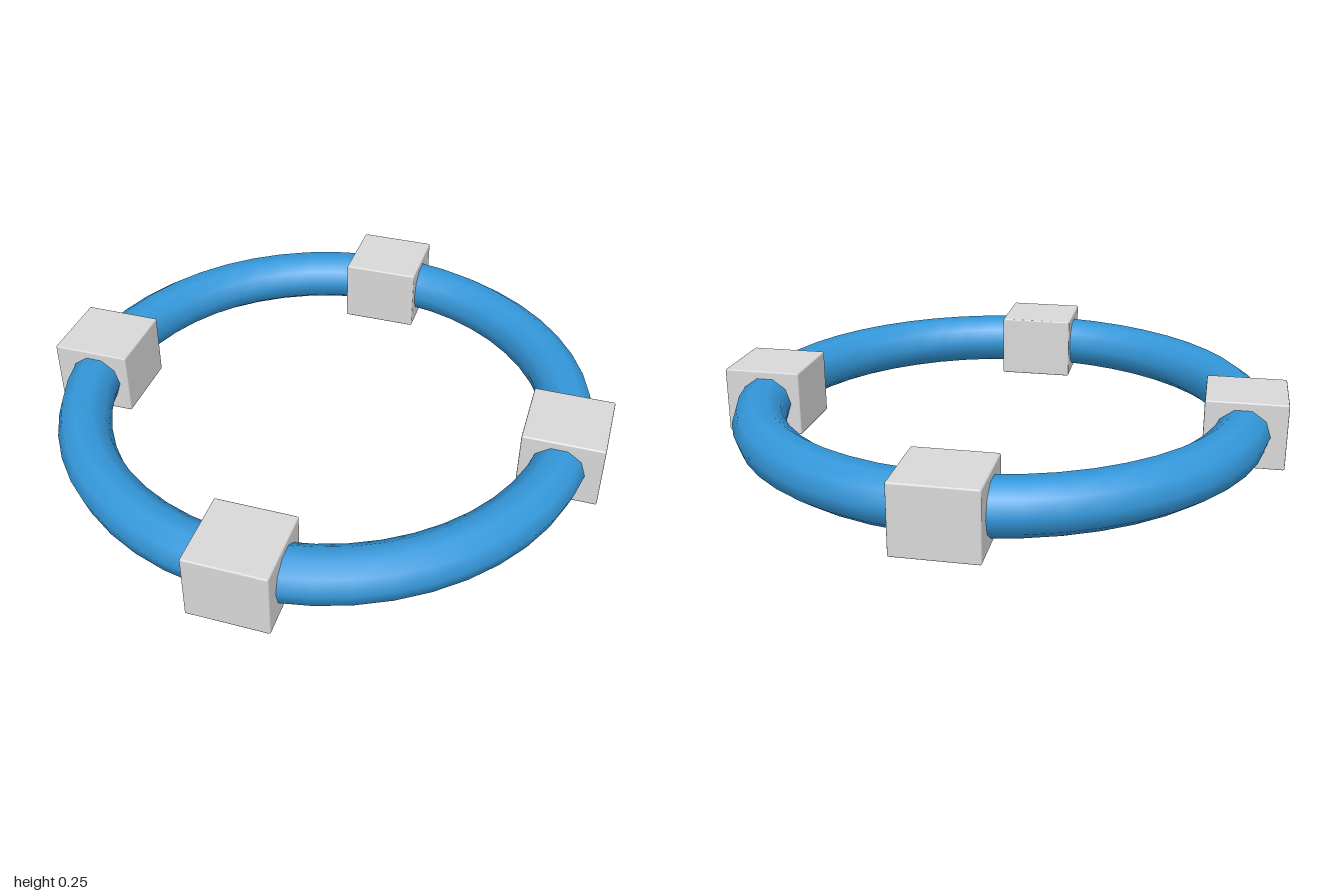
import * as THREE from 'three';
import { RoundedBoxGeometry } from 'three/addons/geometries/RoundedBoxGeometry.js';

export function createModel() {
  const model = new THREE.Group();
  const blue = new THREE.MeshStandardMaterial({ color: 0x3498db });
  blue.name = 'blue';
  const grey = new THREE.MeshStandardMaterial({ color: 0xd9d9d9 });
  grey.name = 'light grey';

  const ringRadius = 0.902, tubeRadius = 0.098;
  const blockSize = 0.292, blockHeight = 0.245;

  // Ring lying flat, ten-sided in section
  const ring = new THREE.Mesh(new THREE.TorusGeometry(ringRadius, tubeRadius, 10, 48), blue);
  ring.name = 'ring';
  ring.rotation.x = -Math.PI / 2;
  ring.position.y = blockHeight / 2;
  model.add(ring);

  // Four finely bevelled blocks clasping the ring on the diagonals
  const blockGeometry = new RoundedBoxGeometry(blockSize, blockHeight, blockSize, 1, 0.006);
  for (let i = 0; i < 4; i++) {
    const angle = Math.PI / 4 + (i * Math.PI) / 2;
    const block = new THREE.Mesh(blockGeometry, grey);
    block.name = `block${i + 1}`;
    block.position.set(0.9 * Math.cos(angle), blockHeight / 2, 0.9 * Math.sin(angle));
    block.rotation.y = -angle;
    model.add(block);
  }
  return model;
}
